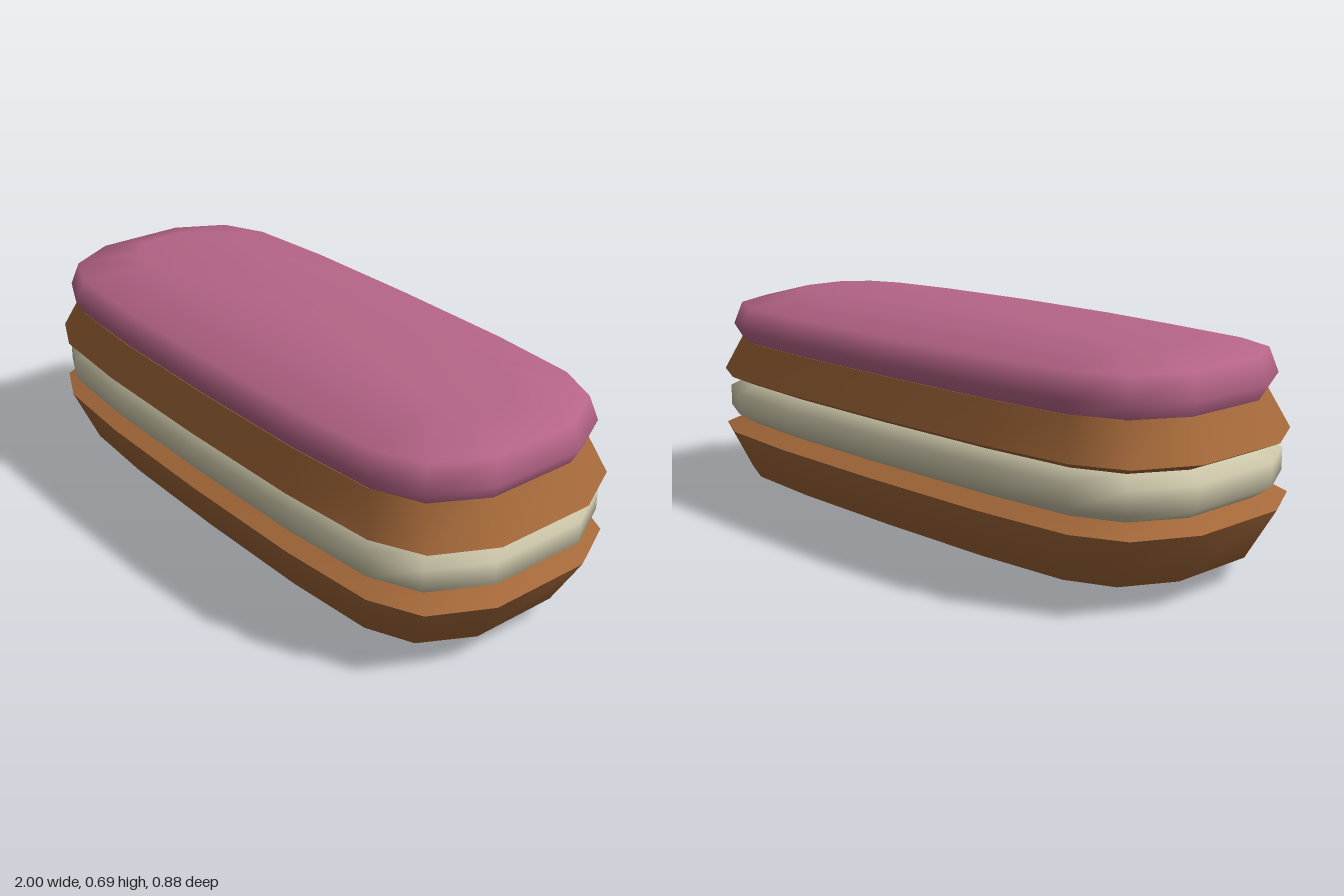
import * as THREE from 'three';
import { mergeGeometries } from 'three/addons/utils/BufferGeometryUtils.js';

const pastry = new THREE.MeshStandardMaterial({ name: 'pastry brown', color: 0xa5693a });
const creamMat = new THREE.MeshStandardMaterial({ name: 'cream', color: 0xcdc7aa });
const icingMat = new THREE.MeshStandardMaterial({ name: 'pink icing', color: 0xb56487 });

// Rounded-oblong outline: one quarter, mirrored into the full loop (+x towards +z)
const quarter = [[1, 0.37], [0.91, 0.77], [0.76, 0.93], [0.45, 0.985], [0, 1]];
const half = [...quarter, ...quarter.slice(0, -1).reverse().map(([x, z]) => [-x, z])];
const outline = [...half, ...half.map(([x, z]) => [-x, -z])];

// Smooth skin through rings of [y, half length, half width, end bend], listed upwards
function skin(rings) {
  const n = outline.length, pos = [], index = [];
  for (const [y, a, b, bend = 0] of rings) {
    for (const [u, v] of outline) pos.push(u * a, y + bend * (u * a) ** 2, v * b);
  }
  for (let i = 0; i < rings.length - 1; i++) {
    for (let j = 0; j < n; j++) {
      const p = i * n + j, q = i * n + (j + 1) % n;
      // skip the collapsed half of each quad at a closed centre
      if (rings[i + 1][1] > 0) index.push(p + n, q + n, q);
      if (rings[i][1] > 0) index.push(p, p + n, q);
    }
  }
  const g = new THREE.BufferGeometry();
  g.setAttribute('position', new THREE.Float32BufferAttribute(pos, 3));
  g.setIndex(index);
  g.computeVertexNormals();
  return g;
}

// A layer is several skins that meet at sharp edges
function layer(name, material, ...skins) {
  const mesh = new THREE.Mesh(mergeGeometries(skins.map(skin)), material);
  mesh.name = name;
  return mesh;
}

export function createModel() {
  const group = new THREE.Group();
  group.name = 'filledPastry';
  group.add(
    layer('bottomBun', pastry,
      [[0, 0, 0], [0, 0.77, 0.18, 0.015], [0.072, 0.915, 0.383], [0.223, 1, 0.44]],
      [[0.223, 1, 0.44], [0.252, 0.935, 0.375]],
      [[0.252, 0.935, 0.375], [0.252, 0, 0]]),
    layer('creamFilling', creamMat,
      [[0.25, 0, 0], [0.25, 0.935, 0.375]],
      [[0.25, 0.935, 0.375], [0.285, 0.982, 0.428], [0.352, 0.982, 0.428], [0.383, 0.935, 0.378]],
      [[0.383, 0.935, 0.378], [0.383, 0, 0]]),
    layer('topBun', pastry,
      [[0.38, 0, 0], [0.38, 0.935, 0.375]],
      [[0.38, 0.935, 0.375], [0.41, 1, 0.44]],
      [[0.41, 1, 0.44], [0.525, 0.935, 0.395]],
      [[0.525, 0.935, 0.395], [0.525, 0, 0]]),
    layer('icing', icingMat,
      [[0.516, 0, 0], [0.516, 0.935, 0.388]],
      [[0.516, 0.935, 0.388], [0.566, 0.962, 0.415], [0.638, 0.94, 0.388],
        [0.69, 0.79, 0.19, -0.015], [0.69, 0, 0]]),
  );
  return group;
}
